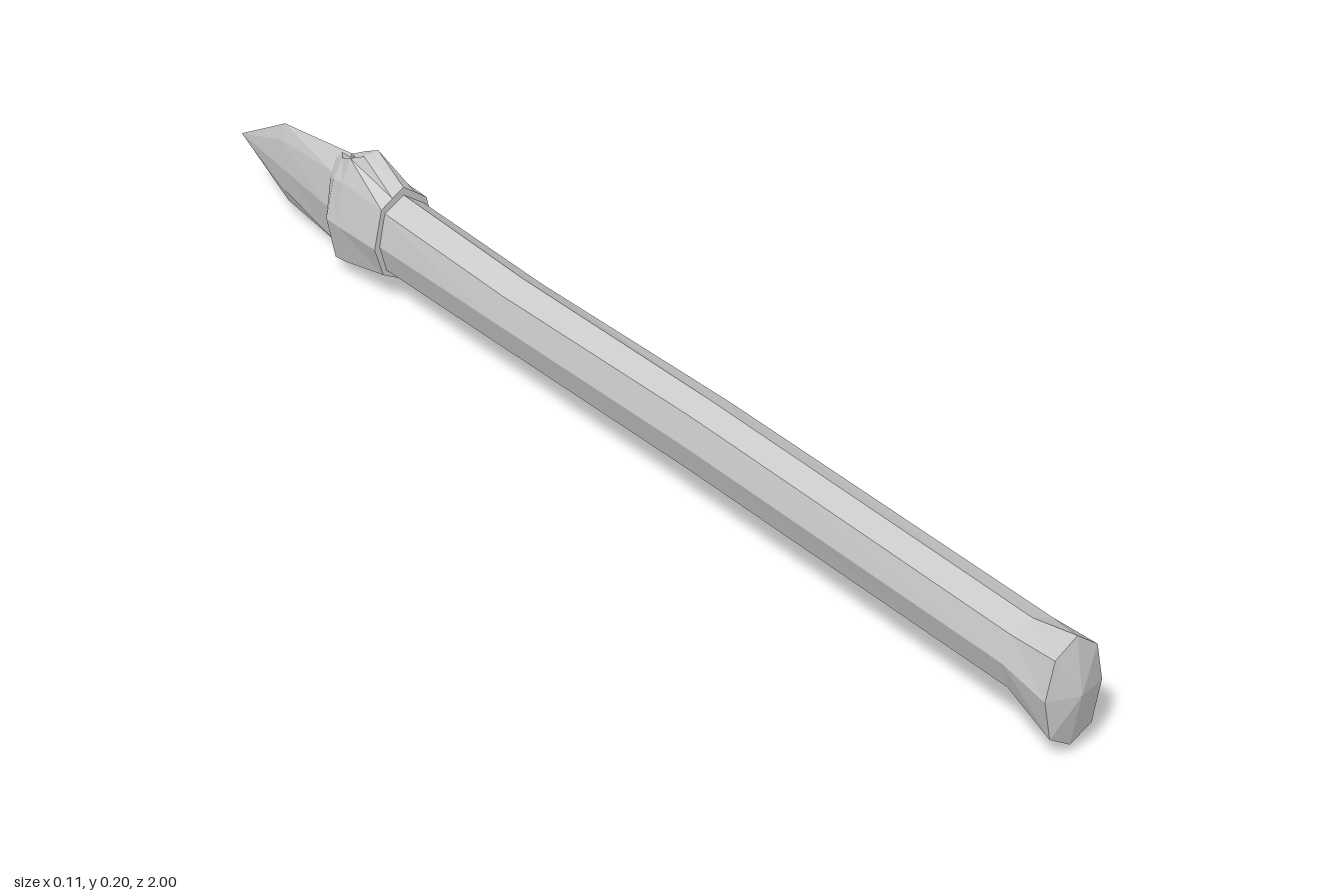
import * as THREE from 'three';

const mat = new THREE.MeshStandardMaterial({ color: 0xcccccc, flatShading: true });

// Mirrors a half outline (top centre -> +x side -> bottom centre) into a closed ring.
function ring(z, half) {
  const mirrored = half.slice(1, -1).reverse().map(([x, y]) => [-x, y]);
  return [...half, ...mirrored].map(([x, y]) => [x, y, z]);
}

// Octagonal half outline: top, shoulder, widest point, lower shoulder, bottom.
const octagon = (z, w, sx, top, shoulder, mid, low, bottom) =>
  ring(z, [[0, top], [sx, shoulder], [w, mid], [sx, low], [0, bottom]]);

// Skins rings ordered from +z to -z and closes both ends with a fan to a point.
function loft(name, rings, frontPoint, backPoint) {
  const n = rings[0].length;
  const pos = [...rings.flat(), frontPoint, backPoint].flat();
  const front = rings.length * n, back = front + 1, last = (rings.length - 1) * n;
  const idx = [];
  for (let i = 0; i < n; i++) {
    const j = (i + 1) % n;
    for (let k = 0; k < last; k += n) {
      idx.push(k + i, k + j, k + n + j, k + i, k + n + j, k + n + i);
    }
    idx.push(front, j, i, back, last + i, last + j);
  }
  const geo = new THREE.BufferGeometry();
  geo.setAttribute('position', new THREE.Float32BufferAttribute(pos, 3));
  geo.setIndex(idx);
  const flat = geo.toNonIndexed();
  flat.computeVertexNormals();
  const mesh = new THREE.Mesh(flat, mat);
  mesh.name = name;
  return mesh;
}

export function createModel() {
  const model = new THREE.Group();
  model.name = 'knife';

  // Handle with a flared, slightly domed pommel
  model.add(loft('handle', [
    octagon(0.985, 0.046, 0.034, 0.174, 0.15, 0.095, 0.037, 0.017),
    octagon(0.905, 0.045, 0.034, 0.158, 0.146, 0.108, 0.07, 0.06),
    octagon(0.25, 0.045, 0.034, 0.167, 0.153, 0.111, 0.07, 0.058),
    octagon(-0.2, 0.045, 0.034, 0.165, 0.146, 0.104, 0.063, 0.049),
    octagon(-0.54, 0.045, 0.034, 0.175, 0.153, 0.1, 0.058, 0.044),
  ], [0, 0.095, 1], [0, 0.1, -0.54]));

  // Collar rising to a notched hump, then narrowing to the blade root
  model.add(loft('collar', [
    ring(-0.515, [[0, 0.187], [0.02, 0.174], [0.04, 0.16], [0.054, 0.098], [0.04, 0.052], [0, 0.033]]),
    ring(-0.625, [[0, 0.196], [0.025, 0.2], [0.04, 0.163], [0.054, 0.095], [0.04, 0.03], [0, 0.008]]),
    ring(-0.655, [[0, 0.182], [0.02, 0.188], [0.038, 0.157], [0.053, 0.095], [0.039, 0.026], [0, 0.003]]),
    ring(-0.69, [[0, 0.18], [0.01, 0.172], [0.021, 0.15], [0.03, 0.095], [0.021, 0.036], [0, 0.012]]),
  ], [0, 0.1, -0.515], [0, 0.095, -0.69]));

  // Double-edged blade tapering to a point
  model.add(loft('blade', [
    octagon(-0.66, 0.033, 0.024, 0.188, 0.155, 0.095, 0.036, 0.008),
    octagon(-0.69, 0.03, 0.021, 0.184, 0.153, 0.095, 0.036, 0.012),
    octagon(-0.86, 0.014, 0.009, 0.164, 0.138, 0.095, 0.054, 0.031),
  ], [0, 0.095, -0.66], [0, 0.095, -1]));

  return model;
}
